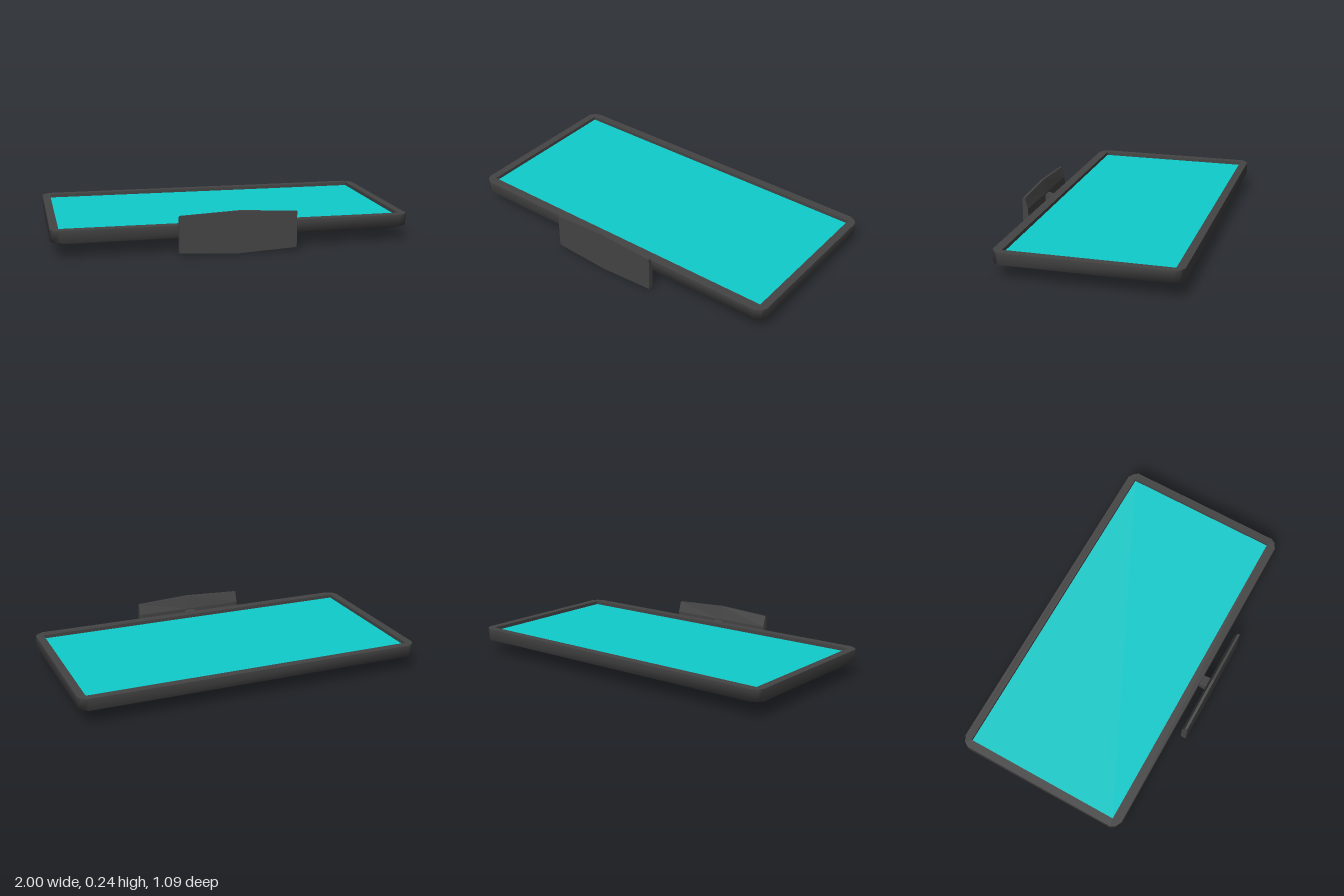
import * as THREE from 'three';

const dark = new THREE.MeshStandardMaterial({ color: 0x444444 });
const cyan = new THREE.MeshStandardMaterial({ color: 0x10cccc });

// Skin between closed rings of [x, y, z]; rings run counter-clockwise about the loft direction
function loft(rings, { startCap = false, endCap = false, smooth = false } = {}) {
  const n = rings[0].length;
  const index = [];
  for (let i = 0; i < rings.length - 1; i++) {
    for (let j = 0; j < n; j++) {
      const a = i * n + j, b = i * n + (j + 1) % n;
      index.push(a, b, b + n, a, b + n, a + n);
    }
  }
  const last = (rings.length - 1) * n;
  for (let j = 1; j < n - 1; j++) {
    if (startCap) index.push(0, j + 1, j);
    if (endCap) index.push(last, last + j, last + j + 1);
  }
  let geometry = new THREE.BufferGeometry();
  geometry.setAttribute('position', new THREE.Float32BufferAttribute(rings.flat(2), 3));
  geometry.setIndex(index);
  if (!smooth) geometry = geometry.toNonIndexed();
  geometry.computeVertexNormals();
  return geometry;
}

// Rectangle with softened corners, lying flat at height y
function outline(inset, y) {
  const hx = 1 - inset, z0 = -0.543 + inset, z1 = 0.473 - inset;
  const corner = [[0, 0.05], [0.02, 0.016], [0.045, 0]]; // [in from z edge, in from x edge]
  const turned = [...corner].reverse();
  const at = (list, sx, z, sz) => list.map(([dz, dx]) => [sx * (hx - dx), y, z - sz * dz]);
  return [
    ...at(corner, 1, z1, 1), ...at(turned, 1, z0, -1),
    ...at(corner, -1, z0, -1), ...at(turned, -1, z1, 1),
  ];
}

const windowRing = (y) => [[0.955, y, 0.42], [0.955, y, -0.497], [-0.955, y, -0.497], [-0.955, y, 0.42]];

export function createModel() {
  const model = new THREE.Group();
  const add = (name, geometry, material = dark) => {
    const mesh = new THREE.Mesh(geometry, material);
    mesh.name = name;
    model.add(mesh);
    return mesh;
  };
  const top = 0.153, screenY = 0.133;

  // Housing: straight sides and a sloped edge running into the flat back
  add('housing', loft([outline(0.062, 0.063), outline(0, 0.086), outline(0, top)], { startCap: true, smooth: true }));

  // Bezel: flat frame around the screen
  const flat = (ring) => ring.map(([x, , z]) => new THREE.Vector2(x, -z));
  const frame = new THREE.Shape(flat(outline(0, top)));
  frame.holes.push(new THREE.Path(flat(windowRing(top))));
  add('bezel', new THREE.ShapeGeometry(frame).rotateX(-Math.PI / 2).translate(0, top, 0));

  // Inner walls of the recess
  add('bezelInnerWalls', loft([windowRing(top), windowRing(screenY)]));

  // Screen
  add('screen', new THREE.PlaneGeometry(1.91, 0.917).rotateX(-Math.PI / 2), cyan)
    .position.set(0, screenY, -0.0385);

  // Neck, flaring towards the stand
  const neckRing = (y0, y1, z) => [[-0.03, y0, z], [0.03, y0, z], [0.03, y1, z], [-0.03, y1, z]];
  add('neck', loft([neckRing(0.098, 0.139, 0.465), neckRing(0.089, 0.151, 0.518)], { startCap: true, endCap: true }));

  // Stand plate: taller in the middle, thinner along one long edge
  const standSection = (x, y0, y1) => [
    [x, y0, 0.515], [x, 0.158, 0.515], [x, y1, 0.533], [x, y1, 0.547], [x, y0, 0.547],
  ];
  add('stand', loft(
    [standSection(-0.325, 0.018, 0.22), standSection(0, 0, 0.236), standSection(0.325, 0.018, 0.22)],
    { startCap: true, endCap: true },
  ));

  return model;
}
